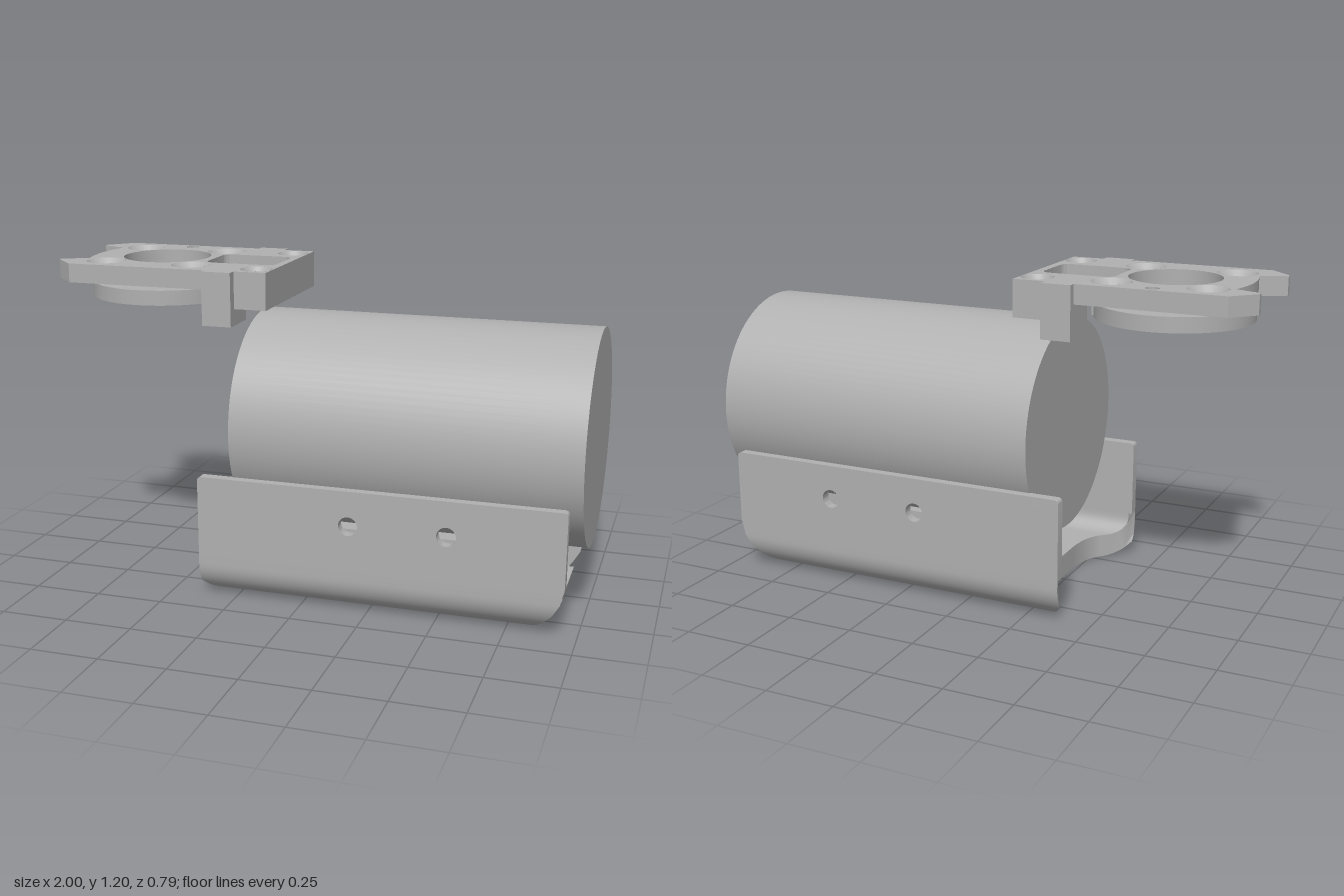
import * as THREE from 'three';
import { toCreasedNormals } from 'three/addons/utils/BufferGeometryUtils.js';

const grey = new THREE.MeshStandardMaterial({ color: 0xb0b0b0, side: THREE.DoubleSide });
grey.name = 'plain grey';

function add(group, name, geometry) {
  const mesh = new THREE.Mesh(toCreasedNormals(geometry, 0.6), grey);
  mesh.name = name;
  group.add(mesh);
  return mesh;
}

const polygon = (pts) => new THREE.Shape(pts.map(([a, b]) => new THREE.Vector2(a, b)));

function circle(x, y, r) {
  return new THREE.Path().absarc(x, y, r, 0, Math.PI * 2, true);
}

// Rectangle with rounded corners, usable as outline or hole
function roundRect(x0, y0, x1, y1, r, Type = THREE.Path) {
  const p = new Type();
  p.absarc(x1 - r, y1 - r, r, 0, Math.PI / 2);
  p.absarc(x0 + r, y1 - r, r, Math.PI / 2, Math.PI);
  p.absarc(x0 + r, y0 + r, r, Math.PI, Math.PI * 1.5);
  p.absarc(x1 - r, y0 + r, r, Math.PI * 1.5, Math.PI * 2);
  p.closePath();
  return p;
}

const extrude = (shape, depth) =>
  new THREE.ExtrudeGeometry(shape, { depth, bevelEnabled: false, curveSegments: 20 });

// Plan shape (x, z) raised from y0 to y1
const slab = (shape, y0, y1) => extrude(shape, y1 - y0).rotateX(Math.PI / 2).translate(0, y1, 0);

// Cradle end limits: rounded lower edge at +x, scalloped floor at -x
const endCurve = [[0, 0.83], [0.04, 0.875], [0.075, 0.91], [0.13, 0.943], [0.19, 0.955], [1, 0.955]];
function xMax(y) {
  const i = Math.max(1, endCurve.findIndex((p) => p[0] >= y));
  const [a, b] = [endCurve[i - 1], endCurve[i]];
  return a[1] + ((y - a[0]) / (b[0] - a[0])) * (b[1] - a[1]);
}
const xMin = (z) => -0.385 + 0.105 * THREE.MathUtils.clamp((0.37 - Math.abs(z)) / 0.1, 0, 1);

function trimEnds(geometry, scallop = false) {
  const p = geometry.attributes.position;
  for (let i = 0; i < p.count; i++) {
    const x = p.getX(i);
    if (x > 0.84) p.setX(i, Math.min(x, xMax(Math.max(0, p.getY(i)))));
    else if (scallop && x < 0) p.setX(i, xMin(p.getZ(i)));
  }
  return geometry;
}

function floorOutline() {
  const s = new THREE.Shape();
  s.moveTo(-0.28, -0.27);
  s.quadraticCurveTo(-0.235, -0.22, -0.235, -0.1);
  s.lineTo(-0.235, 0.1);
  s.quadraticCurveTo(-0.235, 0.22, -0.28, 0.27);
  return s;
}

function makeCradle() {
  const g = new THREE.Group();
  g.name = 'cradle';

  // Floor in two layers, giving the stepped window
  const lower = floorOutline();
  lower.lineTo(0.955, 0.27);
  lower.lineTo(0.955, -0.27);
  lower.holes.push(roundRect(-0.14, -0.235, 0.79, 0.235, 0.08));
  add(g, 'lowerFloor', trimEnds(slab(lower, 0, 0.05)));

  const upper = floorOutline();
  for (const [x, z] of [[0.955, 0.27], [0.955, 0.13], [0.77, 0.13], [0.77, 0.15]]) upper.lineTo(x, z);
  upper.quadraticCurveTo(0.77, 0.21, 0.71, 0.21);
  upper.lineTo(-0.06, 0.21);
  upper.quadraticCurveTo(-0.12, 0.21, -0.12, 0.15);
  upper.lineTo(-0.12, -0.15);
  upper.quadraticCurveTo(-0.12, -0.21, -0.06, -0.21);
  upper.lineTo(0.71, -0.21);
  upper.quadraticCurveTo(0.77, -0.21, 0.77, -0.15);
  for (const [x, z] of [[0.77, -0.13], [0.955, -0.13], [0.955, -0.27]]) upper.lineTo(x, z);
  add(g, 'upperFloor', trimEnds(slab(upper, 0.05, 0.09)));

  for (const side of [1, -1]) {
    // Rounded lower corner
    const pts = [];
    for (let i = 0; i <= 12; i++) {
      const a = (i / 12) * Math.PI / 2;
      pts.push([side * (0.27 + 0.125 * Math.sin(a)), 0.125 - 0.125 * Math.cos(a)]);
    }
    pts.push([side * 0.395, 0.17], [side * 0.357, 0.17]);
    for (let i = 0; i <= 6; i++) {
      const a = (i / 6) * Math.PI / 2;
      pts.push([side * (0.297 + 0.06 * Math.cos(a)), 0.15 - 0.06 * Math.sin(a)]);
    }
    pts.push([side * 0.27, 0.09]);
    const corner = extrude(polygon(pts), 1.34).rotateY(Math.PI / 2).translate(-0.385, 0, 0);
    add(g, 'roundedCorner', trimEnds(corner, true));

    // Side wall with two holes
    const wall = new THREE.Shape();
    wall.moveTo(-0.385, 0.17);
    wall.lineTo(0.952, 0.17);
    wall.lineTo(0.955, 0.19);
    wall.absarc(0.94, 0.445, 0.015, 0, Math.PI / 2);
    wall.absarc(-0.37, 0.445, 0.015, Math.PI / 2, Math.PI);
    for (const x of [0.185, 0.54]) wall.holes.push(circle(x, 0.33, 0.035));
    add(g, 'sideWall', extrude(wall, 0.038).translate(0, 0, side > 0 ? 0.357 : -0.395));

    // Raised end lip beside the notch
    const lip = new THREE.BoxGeometry(0.155, 0.12, 0.235, 1, 6, 1);
    add(g, 'endLip', trimEnds(lip.translate(0.8775, 0.11, side * 0.2475)));
  }
  return g;
}

function makePlate() {
  const g = new THREE.Group();
  g.name = 'mountPlate';
  const screws = [];
  for (const s of [1, -1]) screws.push([-0.82, s * 0.175, 0.073], [-0.48, s * 0.175, 0.073], [-0.215, s * 0.2, 0.059]);

  const outline = () => {
    const s = new THREE.Shape();
    s.moveTo(-1, -0.18);
    s.lineTo(-1, -0.2);
    for (const [x, z] of [[-0.92, -0.283], [-0.385, -0.283], [-0.385, -0.31], [-0.275, -0.31], [-0.275, -0.275],
      [-0.155, -0.275], [-0.155, 0.275], [-0.275, 0.275], [-0.275, 0.31], [-0.385, 0.31], [-0.385, 0.283],
      [-0.92, 0.283], [-1, 0.2], [-1, 0.18], [-0.905, 0.145]]) s.lineTo(x, z);
    s.quadraticCurveTo(-0.95, 0, -0.905, -0.145);
    s.holes.push(circle(-0.65, 0, 0.165), circle(-0.65, -0.245, 0.025));
    s.holes.push(roundRect(-0.455, -0.105, -0.185, 0.105, 0.035));
    return s;
  };

  // Two layers: narrow screw holes below, countersinks above
  const lower = outline();
  const upper = outline();
  for (const [x, z, r] of screws) {
    lower.holes.push(circle(x, z, 0.037));
    upper.holes.push(circle(x, z, r));
    const cone = new THREE.CylinderGeometry(r, 0.037, 0.04, 32, 1, true);
    add(g, 'countersink', cone.translate(x, 1.175, z));
  }
  add(g, 'lowerPlate', slab(lower, 1.125, 1.155));
  add(g, 'upperPlate', slab(upper, 1.155, 1.195));

  // Thick end block around the window
  const block = polygon([[-0.275, -0.275], [-0.155, -0.275], [-0.155, 0.275], [-0.275, 0.275],
    [-0.275, 0.105], [-0.185, 0.105], [-0.185, -0.105], [-0.275, -0.105]]);
  for (const s of [1, -1]) block.holes.push(circle(-0.215, s * 0.2, 0.037));
  add(g, 'endBlock', slab(block, 1.06, 1.125));

  // Downward legs
  for (const s of [1, -1]) {
    const leg = new THREE.BoxGeometry(0.11, 0.125, 0.15);
    add(g, 'leg', leg.translate(-0.33, 1.0625, s * 0.235));
  }

  // Disc hanging from a ring-shaped neck
  const neck = new THREE.Shape().absarc(0, 0, 0.205, 0, Math.PI * 2);
  neck.holes.push(circle(0, 0, 0.165));
  add(g, 'neck', slab(neck, 1.11, 1.125).translate(-0.65, 0, 0));
  add(g, 'disc', new THREE.CylinderGeometry(0.283, 0.283, 0.055, 64).translate(-0.65, 1.0825, 0));
  return g;
}

export function createModel() {
  const model = new THREE.Group();
  model.name = 'cylinderMount';
  // Main cylinder lying along x
  const body = new THREE.CylinderGeometry(0.395, 0.395, 1.26, 96).rotateZ(Math.PI / 2);
  add(model, 'mainCylinder', body.translate(0.37, 0.62, 0));
  model.add(makeCradle(), makePlate());
  return model;
}
